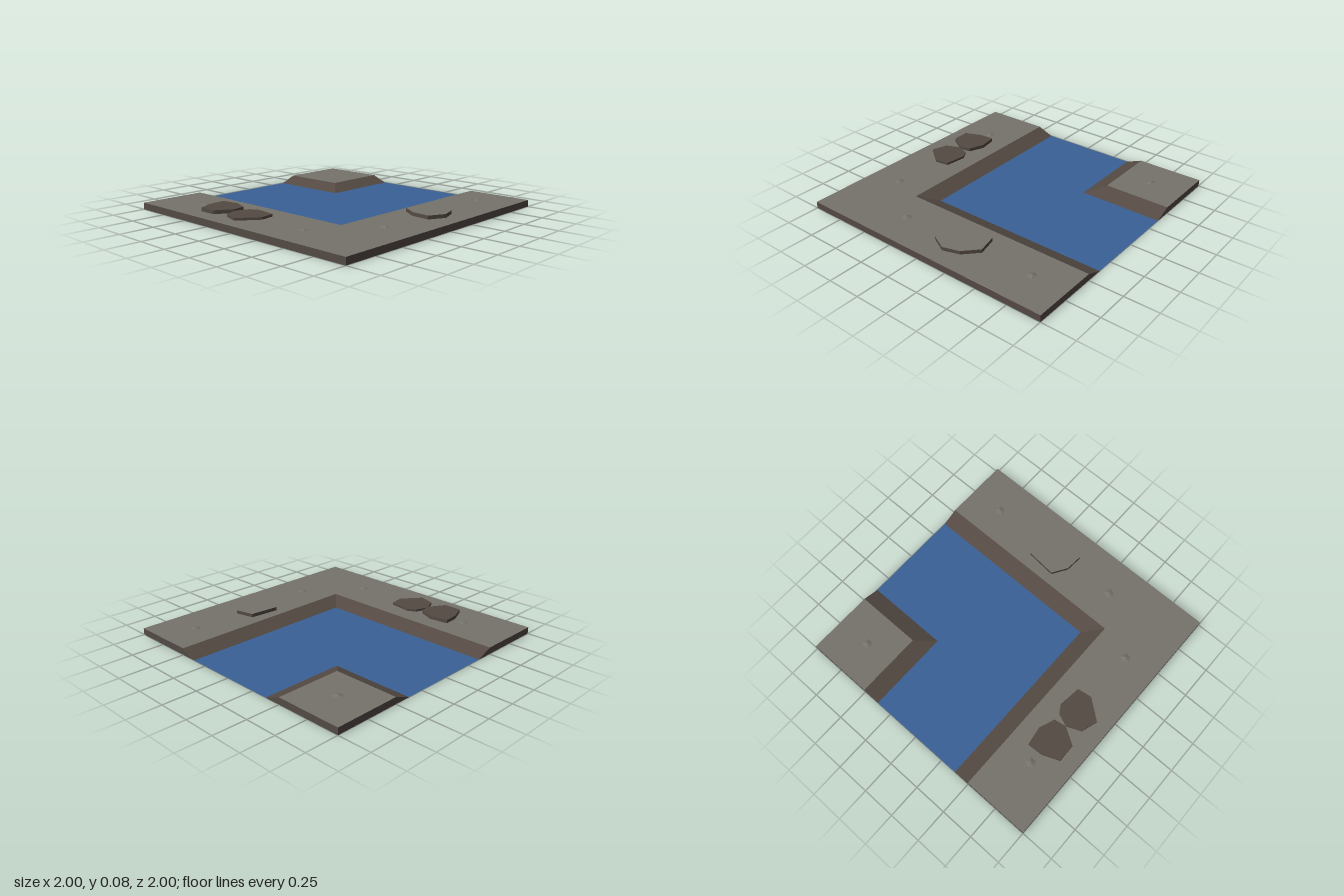
import * as THREE from 'three';

const TOP = 0.05;

function makeMaterial(name, color) {
  const m = new THREE.MeshStandardMaterial({ color, side: THREE.DoubleSide, flatShading: true });
  m.name = name;
  return m;
}

// Flat horizontal polygon from [x, z] points at height y
const toShape = (pts) => new THREE.Shape(pts.map(([x, z]) => new THREE.Vector2(x, -z)));
function flatGeometry(pts, y) {
  return new THREE.ShapeGeometry(toShape(pts)).rotateX(-Math.PI / 2).translate(0, y, 0);
}

// Closed band of quads between a loop at y = 0 and a loop at y = TOP
function bandGeometry(low, high) {
  const pos = [];
  low.forEach(([ax, az], i) => {
    const j = (i + 1) % low.length;
    const [bx, bz] = low[j], [cx, cz] = high[j], [dx, dz] = high[i];
    pos.push(ax, 0, az, bx, 0, bz, cx, TOP, cz, ax, 0, az, cx, TOP, cz, dx, TOP, dz);
  });
  const g = new THREE.BufferGeometry();
  g.setAttribute('position', new THREE.Float32BufferAttribute(pos, 3));
  g.computeVertexNormals();
  return g;
}

export function createModel() {
  const stone = makeMaterial('grey stone', 0x75736b);
  const earth = makeMaterial('brown earth', 0x544a43);
  const blue = makeMaterial('blue water', 0x3a6196);
  const root = new THREE.Group();
  root.name = 'riverBendTile';

  const add = (parent, name, geometry, material) => {
    const mesh = new THREE.Mesh(geometry, material);
    mesh.name = name;
    parent.add(mesh);
    return mesh;
  };

  // Banks: w is the distance of the river edge from the centre line
  const outerLoop = (w) => [[-1, -1], [-1, 1], [1, 1], [1, w], [-w, w], [-w, -1]];
  const innerLoop = (w) => [[w, -1], [w, -w], [1, -w], [1, -1]];
  for (const [name, loop] of [['outerBank', outerLoop], ['innerBank', innerLoop]]) {
    const bank = new THREE.Group();
    bank.name = name;
    add(bank, name + 'Top', flatGeometry(loop(0.5), TOP), stone);
    add(bank, name + 'Sides', bandGeometry(loop(0.375), loop(0.5)), earth);
    root.add(bank);
  }

  // Water surface
  const w = 0.375;
  add(root, 'water', flatGeometry([[-w, -1], [-w, w], [1, w], [1, -w], [w, -w], [w, -1]], 0), blue);

  // Flat slabs of rock lying on the banks
  const slabs = [
    ['backSlab', 0.077, earth, [[-0.754, -0.52], [-0.64, -0.527], [-0.62, -0.39], [-0.665, -0.275],
      [-0.754, -0.26], [-0.877, -0.335], [-0.88, -0.468]]],
    ['middleSlab', 0.068, earth, [[-0.754, -0.254], [-0.66, -0.217], [-0.625, -0.158], [-0.647, 0.008],
      [-0.754, 0.024], [-0.898, -0.09], [-0.86, -0.21]]],
    ['frontSlab', 0.077, stone, [[0.08, 0.575], [0.305, 0.596], [0.337, 0.74], [0.24, 0.842],
      [0.118, 0.88], [0, 0.82], [0.01, 0.687]]],
  ];
  const base = TOP + 0.0005;
  for (const [name, height, cap, pts] of slabs) {
    const g = new THREE.ExtrudeGeometry(toShape(pts), { depth: height - base, bevelEnabled: false });
    g.rotateX(-Math.PI / 2).translate(0, base, 0);
    add(root, name, g, [cap, earth]);
  }

  // Small five-sided pebbles
  const pebbles = [[-0.733, -0.61], [-0.754, 0.42], [-0.348, 0.74], [0.733, 0.73], [0.733, -0.737]];
  for (const [x, z] of pebbles) {
    const g = new THREE.ConeGeometry(0.037, 0.012, 5, 1, true, Math.PI);
    add(root, 'pebble', g, stone).position.set(x, TOP + 0.006, z);
  }

  return root;
}
